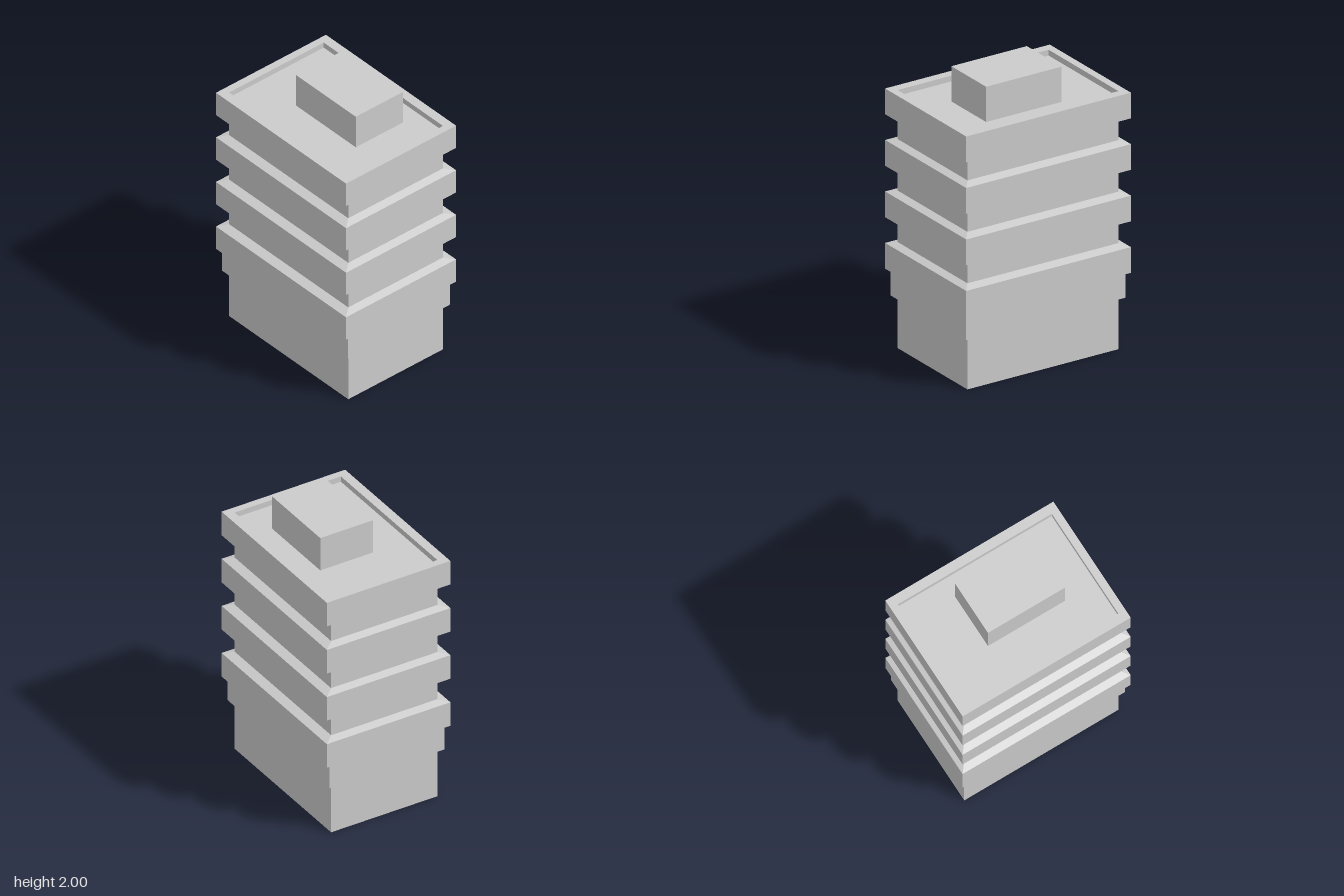
import * as THREE from 'three';

const material = new THREE.MeshStandardMaterial({ color: 0xcccccc, flatShading: true });

// Half sizes [x, z] of the rectangular cross-sections
const CORE = [0.4, 0.58];
const STEP = [0.432, 0.612];
const BAND = [0.465, 0.633];

// Joins rectangular rings [[halfX, halfZ], y] in order, outside facing out
function loft(rings, { capStart = false, capEnd = false } = {}) {
  const pos = [];
  const loops = rings.map(([[x, z], y]) => [[x, y, z], [x, y, -z], [-x, y, -z], [-x, y, z]]);
  const quad = (a, b, c, d) => pos.push(...a, ...b, ...c, ...a, ...c, ...d);
  for (let i = 0; i < loops.length - 1; i++) {
    for (let k = 0; k < 4; k++) {
      const n = (k + 1) % 4;
      quad(loops[i][k], loops[i][n], loops[i + 1][n], loops[i + 1][k]);
    }
  }
  if (capStart) quad(...[...loops[0]].reverse());
  if (capEnd) quad(...loops[loops.length - 1]);
  const geometry = new THREE.BufferGeometry();
  geometry.setAttribute('position', new THREE.Float32BufferAttribute(pos, 3));
  geometry.computeVertexNormals();
  return geometry;
}

export function createModel() {
  const model = new THREE.Group();
  model.name = 'officeTower';
  const add = (name, geometry) => {
    const mesh = new THREE.Mesh(geometry, material);
    mesh.name = name;
    model.add(mesh);
    return mesh;
  };

  // Ground floor and the wider storey above it
  add('groundFloor', loft([[CORE, 0], [CORE, 0.362]], { capStart: true }));
  add('mezzanine', loft([[CORE, 0.362], [STEP, 0.362], [STEP, 0.542]]));

  // Overhanging bands with sloped ledges, and recessed storeys between them
  const pitch = 0.358, slope = 0.017;
  for (let i = 0; i < 4; i++) {
    const low = 0.542 + i * pitch, high = low + 0.179;
    const rings = i === 0 ? [[STEP, low]] : [[CORE, low - slope]];
    rings.push([BAND, low], [BAND, high]);
    if (i < 3) {
      rings.push([CORE, high + slope]);
      add('floorBand' + (i + 1), loft(rings));
      add('recessedStorey' + (i + 1), loft([[CORE, high + slope], [CORE, low + pitch - slope]]));
    } else {
      // Top band: parapet rim around a sunken roof
      rings.push([CORE, high], [CORE, high - 0.04]);
      add('roofParapet', loft(rings, { capEnd: true }));
    }
  }

  // Off-centre plant room standing on the sunken roof
  const roofY = 0.542 + 3 * pitch + 0.179 - 0.04;
  const height = 2 - roofY;
  add('plantRoom', new THREE.BoxGeometry(0.398, height, 0.58))
    .position.set(0.066, roofY + height / 2, 0.056);

  return model;
}
